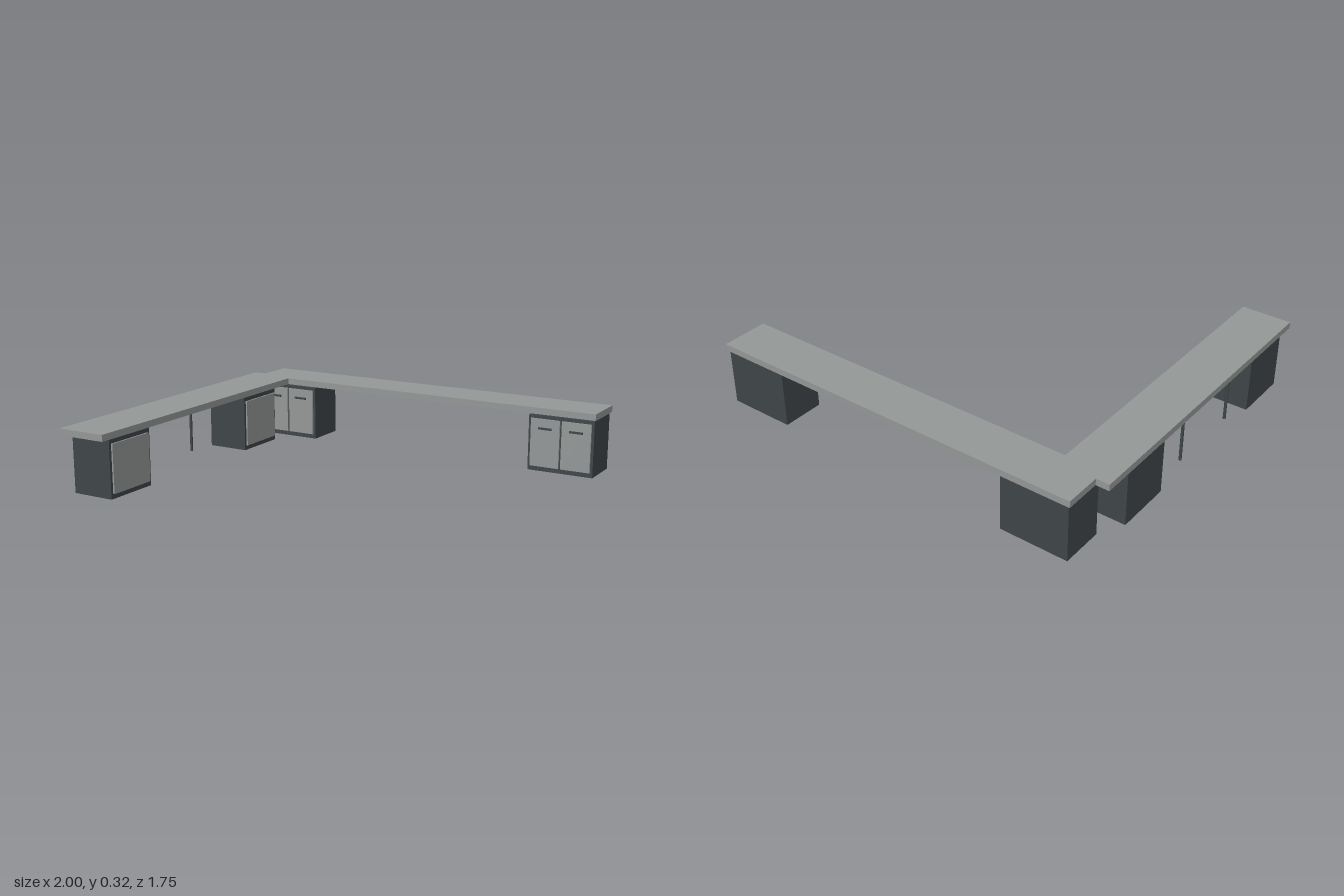
import * as THREE from 'three';

const light = new THREE.MeshStandardMaterial({ color: 0x969a99 });
const dark = new THREE.MeshStandardMaterial({ color: 0x40464a });

// Box given by its minimum and maximum corners
function block(name, [x0, y0, z0], [x1, y1, z1], material) {
  const mesh = new THREE.Mesh(new THREE.BoxGeometry(x1 - x0, y1 - y0, z1 - z0), material);
  mesh.position.set((x0 + x1) / 2, (y0 + y1) / 2, (z0 + z1) / 2);
  mesh.name = name;
  return mesh;
}

// L-shaped worktop with a notch at the rear corner
function worktop() {
  const outline = [
    [-0.935, -0.875], [0.995, -0.875], [0.995, -0.64], [-0.75, -0.64],
    [-0.75, 0.87], [-1, 0.87], [-1, -0.695], [-0.935, -0.695],
  ];
  const shape = new THREE.Shape(outline.map(([x, z]) => new THREE.Vector2(x, -z)));
  const geometry = new THREE.ExtrudeGeometry(shape, { depth: 0.032, bevelEnabled: false });
  geometry.rotateX(-Math.PI / 2);
  const mesh = new THREE.Mesh(geometry, light);
  mesh.position.y = 0.287;
  mesh.name = 'worktop';
  return mesh;
}

// Two-door cabinet facing +z
function doorCabinet(name, x) {
  const g = new THREE.Group();
  g.name = name;
  g.add(block('cabinetBody', [-0.168, 0, -0.86], [0.168, 0.28, -0.651], dark));
  for (const s of [-1, 1]) {
    const c = s * 0.08;
    g.add(block('door', [c - 0.075, 0.024, -0.652], [c + 0.075, 0.264, -0.643], light));
    g.add(block('doorHandle', [c - 0.034, 0.212, -0.644], [c + 0.034, 0.222, -0.636], dark));
  }
  g.position.x = x;
  return g;
}

// Single-panel cabinet facing +x
function panelCabinet(name, z) {
  const g = new THREE.Group();
  g.name = name;
  g.add(block('cabinetBody', [-0.985, 0, -0.141], [-0.768, 0.28, 0.141], dark));
  g.add(block('frontPanel', [-0.769, 0.024, -0.128], [-0.76, 0.26, 0.128], light));
  g.position.z = z;
  return g;
}

export function createModel() {
  const model = new THREE.Group();
  model.name = 'cornerDesk';
  model.add(worktop());
  model.add(doorCabinet('rearLeftCabinet', 0.82), doorCabinet('rearRightCabinet', -0.753));
  model.add(panelCabinet('sideFrontCabinet', 0.664), panelCabinet('sideRearCabinet', -0.39));

  // Slim posts under the outer edge of the side wing
  for (const z of [0.37, -0.03]) {
    const post = new THREE.Mesh(new THREE.CylinderGeometry(0.007, 0.007, 0.265, 16), dark);
    post.position.set(-0.95, 0.1545, z);
    post.name = 'supportPost';
    model.add(post);
  }
  return model;
}
